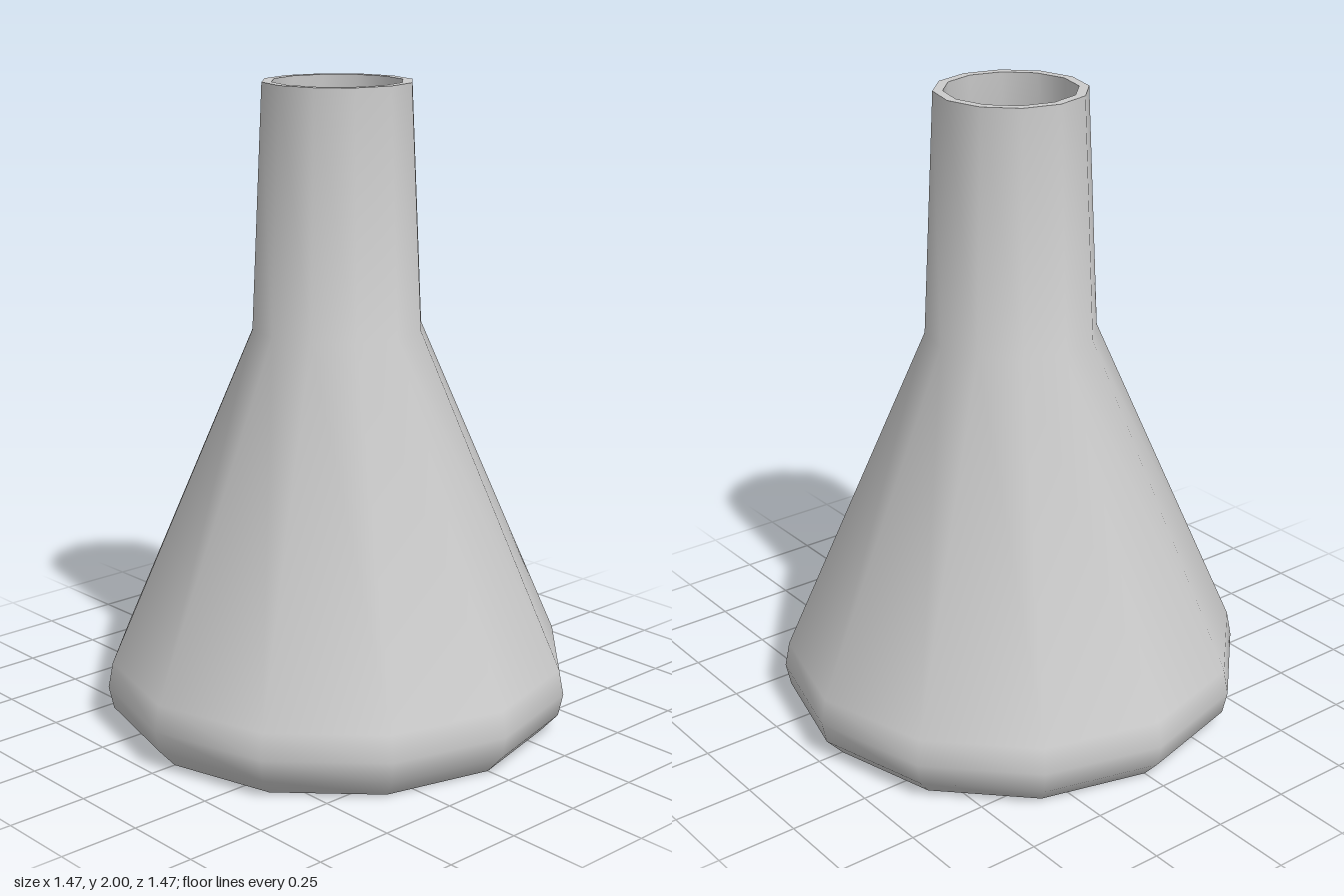
import * as THREE from 'three';

const SIDES = 12;

// Each revolved piece has its own normals, so the borders between pieces stay sharp.
function revolve(name, profile, material) {
  const points = profile.map(([r, y]) => new THREE.Vector2(r, y));
  const mesh = new THREE.Mesh(new THREE.LatheGeometry(points, SIDES), material);
  mesh.name = name;
  return mesh;
}

export function createModel() {
  const group = new THREE.Group();
  group.name = 'flask';
  const material = new THREE.MeshStandardMaterial({ color: 0xcccccc });

  // Outer wall: rounded foot, conical body and slightly tapered neck
  const outer = [[0.665, 0], [0.72, 0.06], [0.735, 0.13], [0.72, 0.21], [0.265, 1.255], [0.23, 2]];
  // Inner wall runs downwards so that it faces the axis
  const inner = [[0.2, 2], [0.235, 1.25], [0.69, 0.2], [0.7, 0.13], [0.69, 0.08], [0.65, 0.03]];

  group.add(
    revolve('outerWall', outer, material),
    revolve('base', [[0, 0], [0.665, 0]], material),
    revolve('rim', [[0.23, 2], [0.2, 2]], material),
    revolve('innerWall', inner, material),
    revolve('innerFloor', [[0.65, 0.03], [0, 0.03]], material),
  );
  return group;
}
